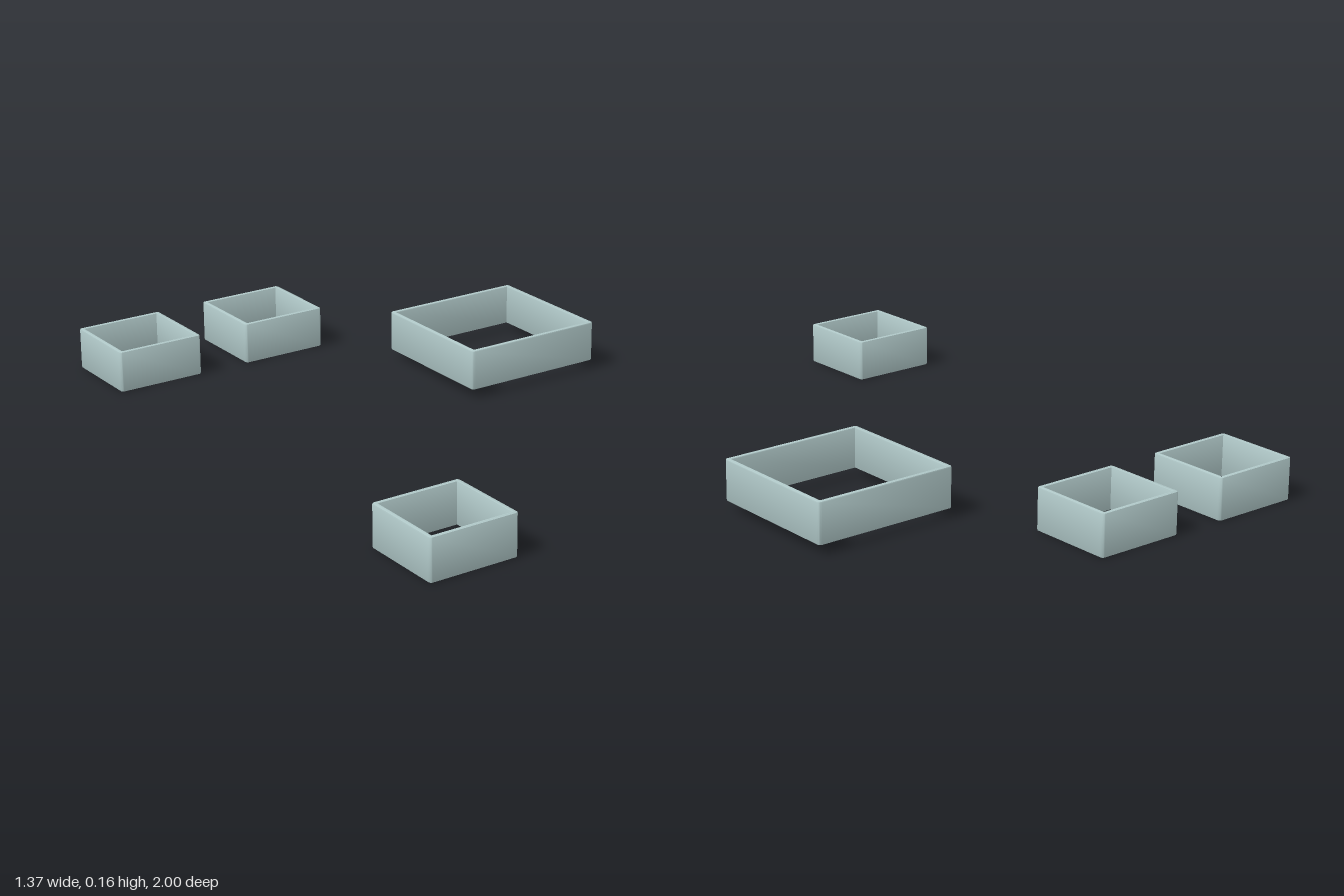
import * as THREE from 'three';
import { toCreasedNormals } from 'three/addons/utils/BufferGeometryUtils.js';

const material = new THREE.MeshStandardMaterial({ color: 0xb0c8c8 });

// Rectangle outline with rounded corners, centred on the origin
function roundedRect(path, w, d, r) {
  const x = w / 2 - r, y = d / 2 - r;
  path.absarc(x, y, r, 0, Math.PI / 2);
  path.absarc(-x, y, r, Math.PI / 2, Math.PI);
  path.absarc(-x, -y, r, Math.PI, Math.PI * 1.5);
  path.absarc(x, -y, r, Math.PI * 1.5, Math.PI * 2);
  path.closePath();
  return path;
}

// Open square frame: thin walls, softened corners and rims, no floor
function frame(name, x0, x1, y0, y1, z0, z1) {
  const w = x1 - x0, d = z1 - z0, h = y1 - y0;
  const wall = 0.015, bevel = 0.004;
  const shape = roundedRect(new THREE.Shape(), w, d, 0.01);
  const iw = w / 2 - wall, id = d / 2 - wall;
  shape.holes.push(new THREE.Path([
    new THREE.Vector2(-iw, -id), new THREE.Vector2(-iw, id),
    new THREE.Vector2(iw, id), new THREE.Vector2(iw, -id),
  ]));
  const geometry = new THREE.ExtrudeGeometry(shape, {
    depth: h - 2 * bevel, curveSegments: 4,
    bevelEnabled: true, bevelThickness: bevel, bevelSize: bevel,
    bevelOffset: -bevel, bevelSegments: 2,
  });
  geometry.translate(0, 0, bevel);
  geometry.rotateX(-Math.PI / 2);
  const mesh = new THREE.Mesh(toCreasedNormals(geometry, 0.6), material);
  mesh.name = name;
  mesh.position.set((x0 + x1) / 2, y0, (z0 + z1) / 2);
  return mesh;
}

export function createModel() {
  const group = new THREE.Group();
  group.name = 'squareFrames';

  // Three small frames resting on the ground
  group.add(frame('smallFrameFront', -0.685, -0.39, 0, 0.135, 0.717, 1));
  group.add(frame('smallFrameBackRight', -0.685, -0.39, 0, 0.135, -1, -0.717));
  group.add(frame('smallFrameBackMiddle', -0.22, 0.075, 0, 0.135, -1, -0.717));

  // Larger frame, raised slightly
  group.add(frame('largeFrame', 0.2, 0.685, 0.03, 0.162, -0.49, -0.025));
  return group;
}
